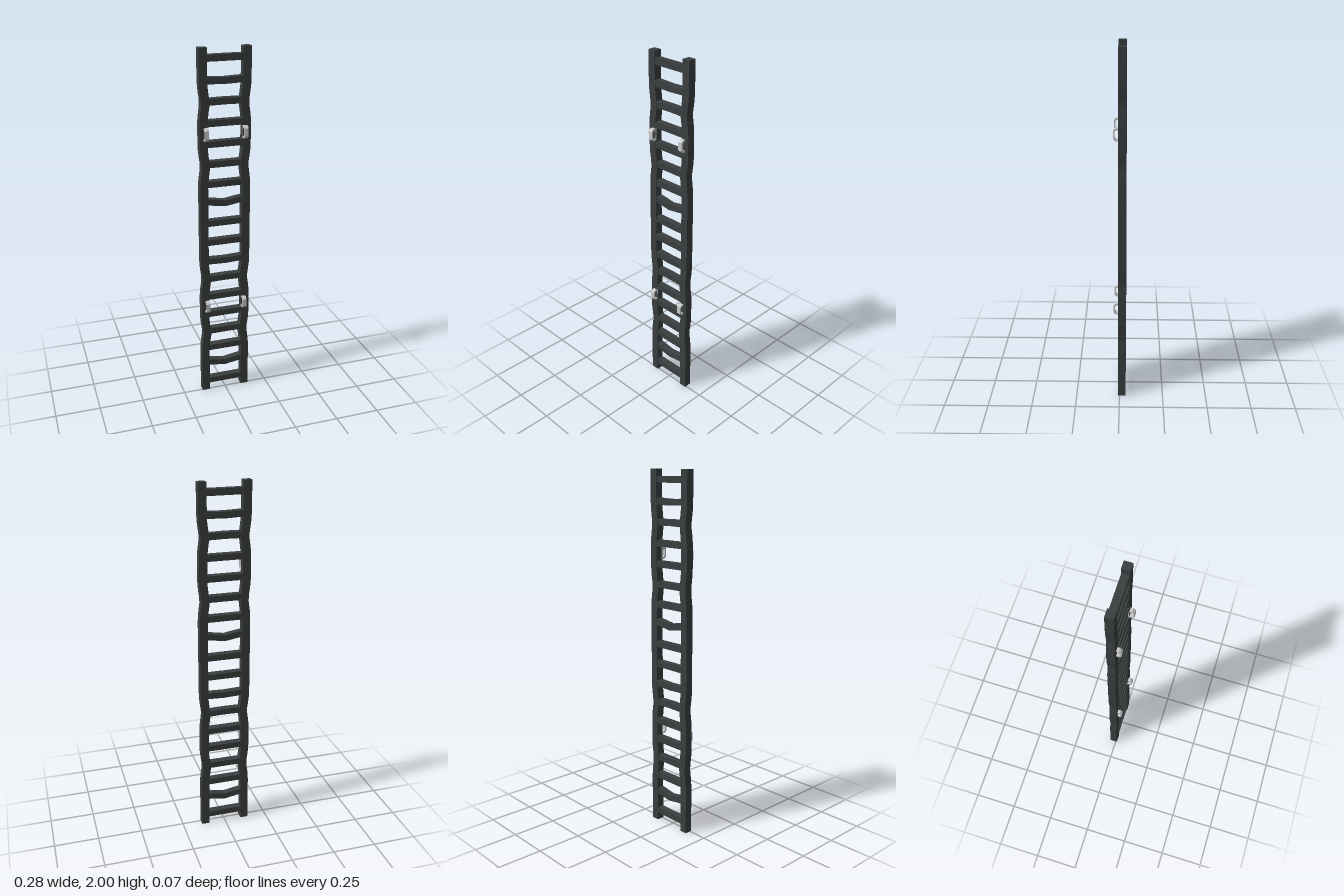
import * as THREE from 'three';

const frameMat = new THREE.MeshStandardMaterial({ color: 0x3a3e3e, flatShading: true });
const hookMat = new THREE.MeshStandardMaterial({ color: 0xcccccc, flatShading: true });

// Inward dent of the rails; the ladder is two identical 1-unit sections
function dent(y) {
  const t = ((y % 1) + 1) % 1;
  return 0.011 * (Math.exp(-(((t - 0.72) / 0.06) ** 2)) + Math.exp(-(((t - 0.38) / 0.06) ** 2)));
}

function deform(geometry, rule) {
  const p = geometry.attributes.position;
  const v = new THREE.Vector3();
  for (let i = 0; i < p.count; i++) {
    v.fromBufferAttribute(p, i);
    rule(v);
    p.setXYZ(i, v.x, v.y, v.z);
  }
  geometry.computeVertexNormals();
  return geometry;
}

function add(parent, name, geometry, material) {
  const mesh = new THREE.Mesh(geometry, material);
  mesh.name = name;
  parent.add(mesh);
  return mesh;
}

// Battered side rail: a tall bar bent inwards at the dents
function makeRail(side) {
  const g = new THREE.BoxGeometry(0.044, 2, 0.043, 1, 60, 1);
  g.translate(side * 0.118, 1, -0.0135);
  return deform(g, (v) => { v.x -= side * dent(v.y); });
}

// Rung with an optional sag in its middle
function makeRung(y, sag) {
  const g = new THREE.BoxGeometry(0.212, 0.034, 0.039, 8, 1, 1);
  return deform(g, (v) => {
    const k = 1 - Math.min(1, Math.abs(v.x) / 0.1);
    v.y += y - sag * k;
    v.z += -0.0135 - (v.z > 0 ? 0.1 * sag * k : 0);
  });
}

// Chamfered loop outline in the z-y plane
function loop(path, z0, z1, h, c) {
  path.moveTo(z0, -h);
  path.lineTo(z1 - c, -h);
  path.lineTo(z1, -h + c);
  path.lineTo(z1, h - c);
  path.lineTo(z1 - c, h);
  path.lineTo(z0, h);
  path.closePath();
  return path;
}

function makeHook() {
  const shape = loop(new THREE.Shape(), 0, 0.034, 0.034, 0.012);
  shape.holes.push(loop(new THREE.Path(), 0.006, 0.025, 0.024, 0.008));
  const g = new THREE.ExtrudeGeometry(shape, { depth: 0.023, bevelEnabled: false });
  g.translate(0, 0, -0.0115);
  g.rotateY(-Math.PI / 2);
  return g;
}

export function createModel() {
  const ladder = new THREE.Group();
  ladder.name = 'ladder';

  add(ladder, 'leftRail', makeRail(1), frameMat);
  add(ladder, 'rightRail', makeRail(-1), frameMat);

  // Rungs, bottom to top of one section, as [height, sag]
  const rungs = [
    [0.06, 0], [0.185, 0.016], [0.283, 0], [0.393, 0], [0.503, 0],
    [0.614, 0], [0.725, -0.002], [0.835, 0.004], [0.947, 0],
  ];
  const hook = makeHook();
  for (const base of [0, 1]) {
    for (const [y, sag] of rungs) add(ladder, 'rung', makeRung(base + y, sag), frameMat);
    // Wall hooks on the front of the rails
    for (const side of [-1, 1]) {
      add(ladder, 'hook', hook, hookMat).position.set(side * 0.107, base + 0.56, 0);
    }
  }
  return ladder;
}
